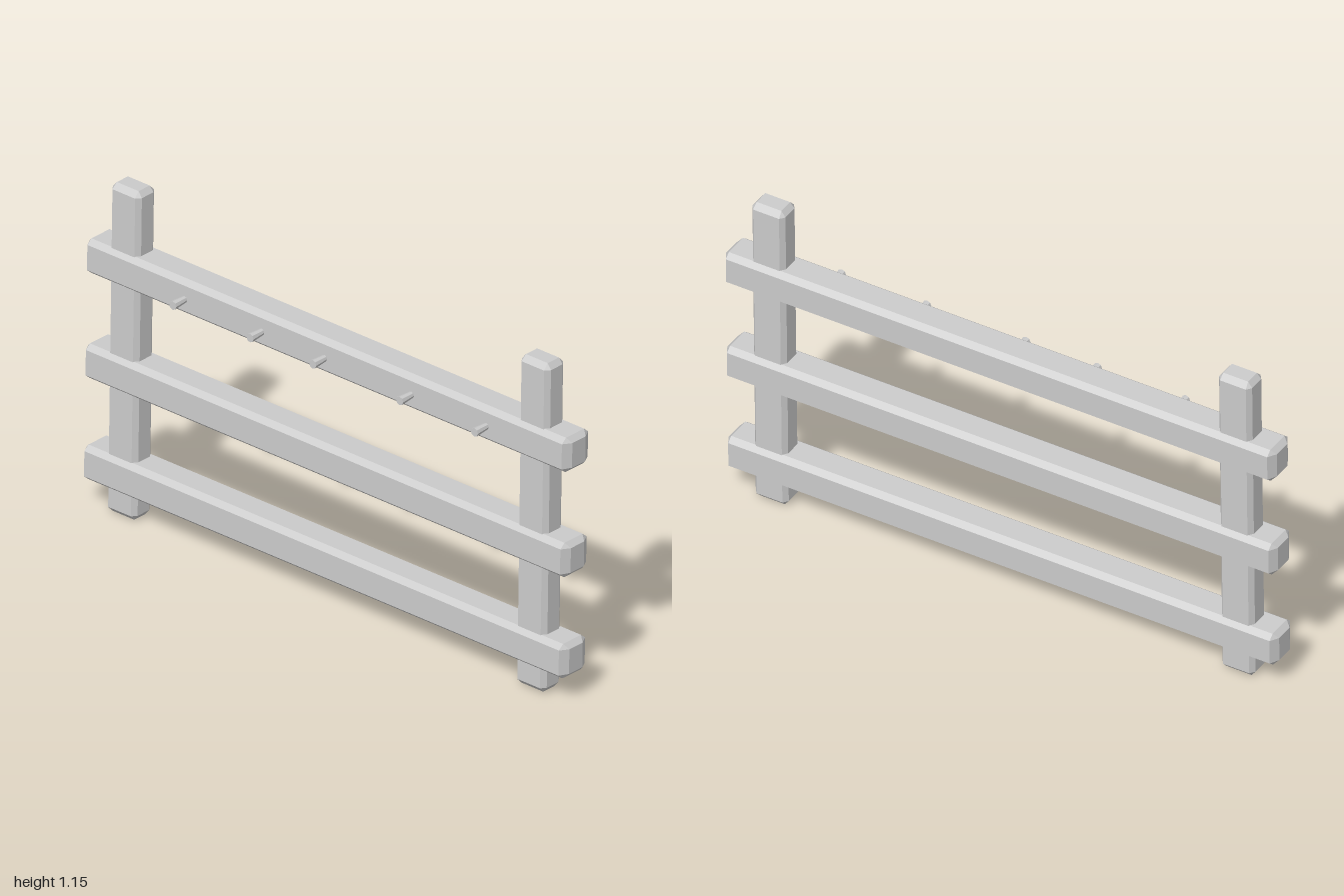
import * as THREE from 'three';
import { ConvexGeometry } from 'three/addons/geometries/ConvexGeometry.js';

const material = new THREE.MeshStandardMaterial({ color: 0xcccccc, flatShading: true });

// Chamfered beam: each corner is cut into three points, one on each adjoining face
function chamferedBeam(cornerPoints) {
  const points = [];
  for (const sx of [-1, 1]) for (const sy of [-1, 1]) for (const sz of [-1, 1])
    for (const [x, y, z] of cornerPoints) points.push(new THREE.Vector3(sx * x, sy * y, sz * z));
  return new ConvexGeometry(points);
}

export function createModel() {
  const group = new THREE.Group();
  const add = (name, geometry, x, y, z, rx = 0) => {
    const mesh = new THREE.Mesh(geometry, material);
    mesh.name = name;
    mesh.position.set(x, y, z);
    mesh.rotation.x = rx;
    group.add(mesh);
  };

  // Upright posts, leaning slightly backwards
  const lean = -0.018;
  const post = chamferedBeam([[0.06, 0.555, 0.027], [0.045, 0.574, 0.026], [0.047, 0.555, 0.044]]);
  add('rightPost', post, -0.85, 0.575, -0.02, lean);
  add('leftPost', post, 0.845, 0.575, -0.02, lean);

  // Horizontal rails, each following the lean of the posts
  const rail = chamferedBeam([[1, 0.043, 0.031], [0.983, 0.06, 0.042], [0.983, 0.044, 0.061]]);
  add('bottomRail', rail, 0, 0.147, -0.012, lean);
  add('middleRail', rail, 0, 0.5, -0.019, lean);
  add('topRail', rail, 0, 0.867, -0.026, lean);

  // Pegs that widen towards the tip
  const peg = new THREE.CylinderGeometry(0.015, 0.01, 0.07, 8);
  for (const x of [-0.58, -0.26, 0, 0.36, 0.67]) add('peg', peg, x, 0.865, 0.055, Math.PI / 2);

  return group;
}
